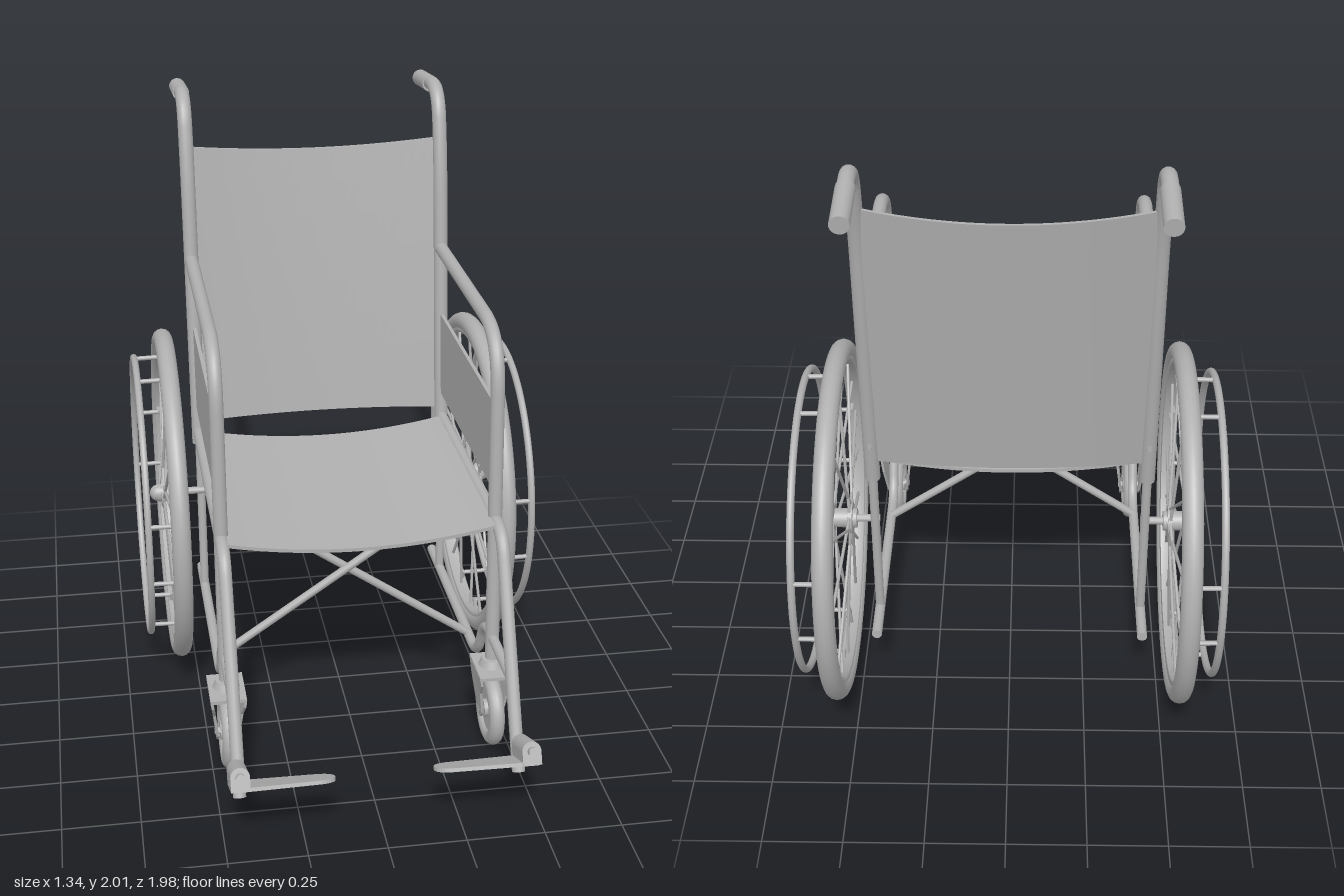
import * as THREE from 'three';
import { mergeGeometries } from 'three/addons/utils/BufferGeometryUtils.js';

const V = (x, y, z) => new THREE.Vector3(x, y, z);
const grey = new THREE.MeshStandardMaterial({ color: 0xb0b0b0 });
grey.name = 'grey';

function add(parent, name, geometry) {
  const mesh = new THREE.Mesh(geometry, grey);
  mesh.name = name;
  parent.add(mesh);
  return mesh;
}

// Straight rod between two points
function rod(a, b, r, sides = 10) {
  const d = b.clone().sub(a);
  const g = new THREE.CylinderGeometry(r, r, d.length(), sides);
  g.applyQuaternion(new THREE.Quaternion().setFromUnitVectors(V(0, 1, 0), d.normalize()));
  const m = a.clone().add(b).multiplyScalar(0.5);
  return g.translate(m.x, m.y, m.z);
}

// Capped pipe in a plane of constant x, through [z, y, bend length] corners
function pipe(x, corners, r) {
  const pts = corners.map(([z, y]) => V(x, y, z));
  const path = new THREE.CurvePath();
  let from = pts[0];
  for (let i = 1; i < pts.length - 1; i++) {
    const toward = (q) => pts[i].clone().add(q.clone().sub(pts[i]).setLength(corners[i][2]));
    const a = toward(pts[i - 1]), b = toward(pts[i + 1]);
    path.add(new THREE.LineCurve3(from, a));
    path.add(new THREE.QuadraticBezierCurve3(a, pts[i], b));
    from = b;
  }
  path.add(new THREE.LineCurve3(from, pts[pts.length - 1]));
  const parts = [new THREE.TubeGeometry(path, 90, r, 14, false)];
  for (const t of [0, 1]) {
    const dir = path.getTangentAt(t).multiplyScalar(t ? 1 : -1), p = path.getPointAt(t);
    const cap = new THREE.CircleGeometry(r, 14);
    cap.applyQuaternion(new THREE.Quaternion().setFromUnitVectors(V(0, 0, 1), dir));
    parts.push(cap.translate(p.x, p.y, p.z));
  }
  return mergeGeometries(parts);
}

// Move every vertex by a rule
function bend(g, rule) {
  const p = g.attributes.position, v = V(0, 0, 0);
  for (let i = 0; i < p.count; i++) {
    rule(v.fromBufferAttribute(p, i));
    p.setXYZ(i, v.x, v.y, v.z);
  }
  g.computeVertexNormals();
  return g;
}

const disc = (r, width, sides = 32) => new THREE.CylinderGeometry(r, r, width, sides).rotateZ(Math.PI / 2);
const ring = (R, r, tubeSides = 14, sides = 80) => new THREE.TorusGeometry(R, r, tubeSides, sides).rotateY(Math.PI / 2);
const onWheel = (x, r, a) => V(x, r * Math.sin(a), r * Math.cos(a));

// Large wheel with hand rim, centred on its hub; s is the outward direction
function driveWheel(s) {
  const wheel = new THREE.Group();
  wheel.name = 'driveWheel';
  add(wheel, 'tyre', ring(0.56, 0.033));
  const profile = [[0.522, -0.02], [0.545, -0.024], [0.545, 0.024], [0.522, 0.02], [0.522, -0.02]];
  add(wheel, 'rim', new THREE.LatheGeometry(profile.map(([r, y]) => new THREE.Vector2(r, y)), 80).rotateZ(Math.PI / 2));
  add(wheel, 'handRim', ring(0.495, 0.012, 10)).position.x = s * 0.105;
  // Short brackets joining hand rim and rim
  const brackets = [];
  for (let q = 0; q < 4; q++) for (const o of [-0.22, 0.22]) {
    const a = q * Math.PI / 2 + o;
    brackets.push(rod(onWheel(s * 0.105, 0.495, a), onWheel(s * 0.01, 0.497, a), 0.008));
    brackets.push(rod(onWheel(s * 0.01, 0.49, a), onWheel(s * 0.01, 0.535, a), 0.008));
  }
  add(wheel, 'handRimBrackets', mergeGeometries(brackets));
  const spokes = [];
  for (let i = 0; i < 20; i++) {
    const a = (i + 0.5) * Math.PI / 10, side = i % 2 ? 1 : -1, skew = i % 4 < 2 ? 0.9 : -0.9;
    spokes.push(rod(onWheel(side * 0.028, 0.042, a + skew), onWheel(0, 0.53, a), 0.0055, 6));
  }
  add(wheel, 'spokes', mergeGeometries(spokes));
  // Hub with two flanges, a domed cap and the axle
  add(wheel, 'hub', disc(0.032, 0.1));
  for (const x of [-0.03, 0.03]) add(wheel, 'hubFlange', disc(0.052, 0.012)).position.x = x;
  add(wheel, 'hubCap', new THREE.SphereGeometry(0.03, 20, 12)).position.x = s * 0.047;
  add(wheel, 'axle', disc(0.013, 0.13, 12)).position.x = -s * 0.06;
  return wheel;
}

// Small front wheel in a tapering fork, centred on its axle
function caster() {
  const g = new THREE.Group();
  g.name = 'caster';
  add(g, 'casterTyre', ring(0.1, 0.026, 14, 40));
  add(g, 'casterDisc', disc(0.09, 0.024));
  add(g, 'casterHub', disc(0.03, 0.05, 20));
  add(g, 'casterAxle', disc(0.012, 0.085, 12));
  const outline = [[-0.075, 0.165], [-0.075, 0.1], [-0.045, 0.0], [-0.02, -0.025], [0.012, -0.025], [0.035, 0.0], [0.05, 0.09], [0.09, 0.14], [0.09, 0.165]];
  const shape = new THREE.Shape(outline.map(([z, y]) => new THREE.Vector2(z, y)));
  for (const side of [-1, 1]) {
    const cheek = new THREE.ExtrudeGeometry(shape, { depth: 0.008, bevelEnabled: false });
    cheek.translate(0, 0, -0.004).rotateY(-Math.PI / 2);
    add(g, 'forkCheek', bend(cheek, (v) => { v.x += side * (0.034 + Math.max(0, v.y) * 0.13); }));
  }
  add(g, 'forkPlate', new THREE.BoxGeometry(0.118, 0.012, 0.165)).position.set(0, 0.165, 0.0075);
  add(g, 'swivel', new THREE.CylinderGeometry(0.034, 0.045, 0.025, 24)).position.y = 0.183;
  return g;
}

// Tilted footrest: hinge block, pin and rounded plate reaching inward
function footrest(s) {
  const g = new THREE.Group();
  g.name = 'footrest';
  const block = new THREE.Shape();
  block.moveTo(-0.03, -0.036);
  block.lineTo(0.03, -0.036);
  block.lineTo(0.03, 0.008);
  block.absarc(0, 0.008, 0.03, 0, Math.PI, false);
  block.closePath();
  add(g, 'hingeBlock', new THREE.ExtrudeGeometry(block, { depth: 0.14, bevelEnabled: false, curveSegments: 12 }).translate(0, 0, -0.07));
  add(g, 'hingePin', new THREE.CylinderGeometry(0.014, 0.014, 0.025, 14).rotateX(Math.PI / 2)).position.set(0, 0.008, 0.078);
  const plate = new THREE.Shape();
  plate.moveTo(s * 0.02, -0.068);
  plate.lineTo(-s * 0.25, -0.052);
  plate.quadraticCurveTo(-s * 0.297, -0.042, -s * 0.297, 0);
  plate.quadraticCurveTo(-s * 0.297, 0.042, -s * 0.25, 0.052);
  plate.lineTo(s * 0.02, 0.068);
  plate.closePath();
  const sheet = new THREE.ExtrudeGeometry(plate, { depth: 0.012, bevelEnabled: false, curveSegments: 10 });
  add(g, 'footPlate', sheet.rotateX(Math.PI / 2).translate(0, -0.026, 0));
  g.position.set(s * 0.452, 0.258, 0.91);
  g.rotation.x = -0.42;
  return g;
}

export function createModel() {
  const model = new THREE.Group();
  model.name = 'wheelchair';

  // Sagging fabric seat and backrest
  const dip = (x) => 1 - (x / 0.43) ** 2;
  add(model, 'seat', bend(new THREE.BoxGeometry(0.86, 0.012, 0.88, 24, 1, 1), (v) => {
    v.y += 0.832 - 0.045 * dip(v.x);
    v.z += 0.06;
  }));
  add(model, 'backrest', bend(new THREE.BoxGeometry(0.86, 1, 0.012, 24, 8, 1), (v) => {
    const t = v.y + 0.5;
    v.y = 0.86 + t * (0.97 - 0.03 * dip(v.x));
    v.z += -0.425 - 0.135 * t - 0.035 * dip(v.x);
  }));

  for (const s of [-1, 1]) {
    const side = new THREE.Group();
    side.name = s > 0 ? 'leftSide' : 'rightSide';
    model.add(side);
    const x = s * 0.445;

    // Bent tube frame
    add(side, 'backTube', pipe(x, [[-0.9, 1.963], [-0.6, 2.0, 0.11], [-0.535, 1.77, 0.14], [-0.41, 0.78]], 0.025));
    add(side, 'handGrip', rod(V(x, 1.96, -0.915), V(x, 1.98, -0.73), 0.029, 18));
    add(side, 'backTubeLower', rod(V(x, 0.82, -0.413), V(x, 0.21, -0.375), 0.015, 14));
    add(side, 'armrestTube', pipe(x, [[-0.48, 1.445], [0.39, 1.445, 0.19], [0.462, 0.3]], 0.023));
    add(side, 'seatRail', pipe(x, [[-0.42, 0.825], [0.53, 0.825, 0.07], [0.855, 0.14]], 0.021));
    add(side, 'lowerRail', pipe(x, [[0.73, 0.4], [0.35, 0.4, 0.08], [0.26, 0.215, 0.08], [-0.525, 0.215]], 0.017));
    add(side, 'sidePanel', new THREE.BoxGeometry(0.012, 0.29, 0.87)).position.set(x, 1.065, -0.02);

    // Folding cross brace
    const z = 0.14 + s * 0.012;
    add(side, 'crossBrace', rod(V(s * 0.43, 0.825, z), V(-s * 0.44, 0.225, z), 0.014, 12));

    const wheel = driveWheel(s);
    wheel.position.set(s * 0.555, 0.6, -0.39);
    const front = caster();
    front.position.set(x, 0.13, 0.465);
    side.add(wheel, front, footrest(s));
  }
  return model;
}
